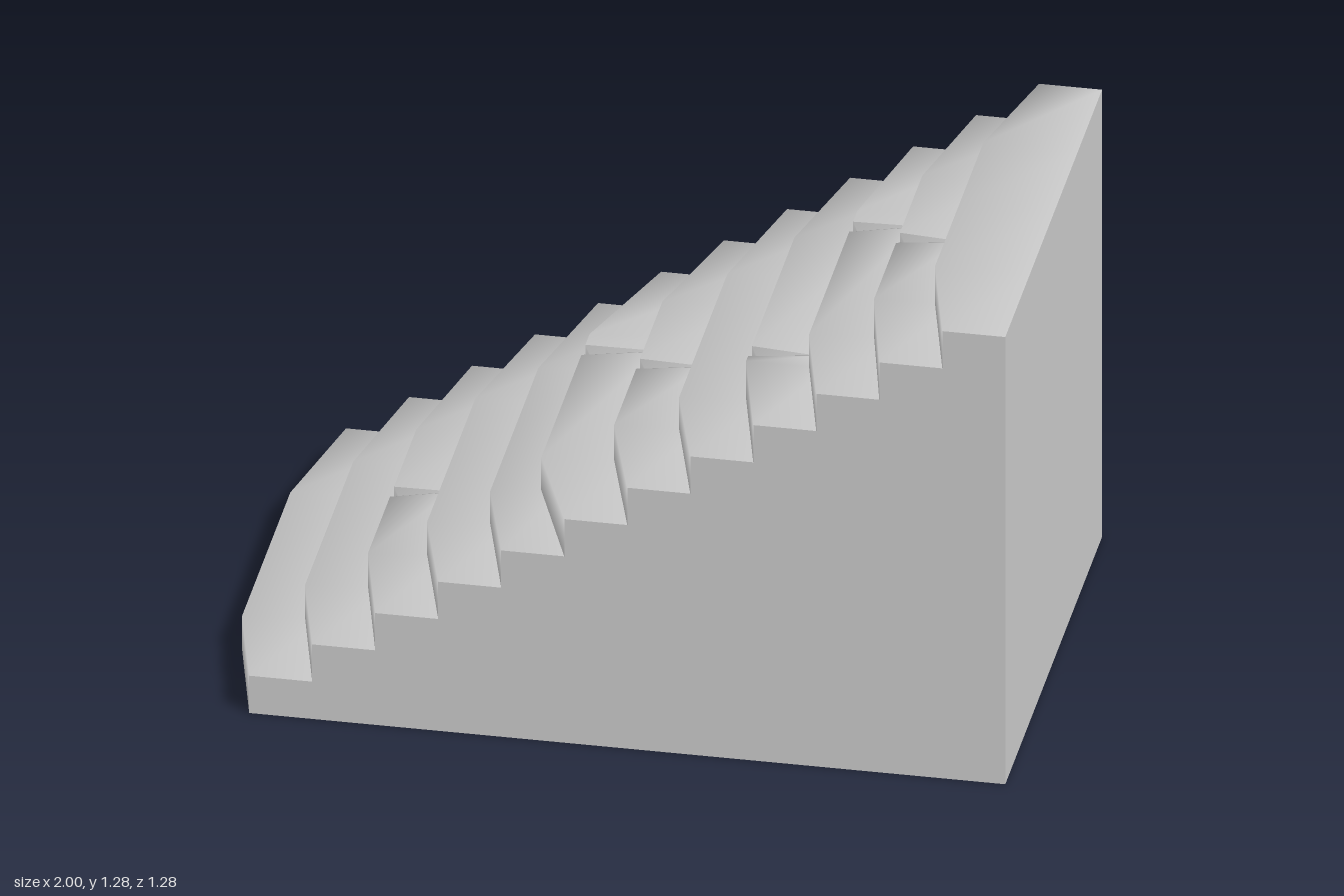
import * as THREE from 'three';

const STEPS = 12, RUN = 0.16, RISE = 1.28 / STEPS, HALF = 0.64;
// Per step: nose position at mid-width, wear of the nose edge, z of the crack (if any)
const NOSE = [-1, -0.84, -0.68, -0.53, -0.37, -0.24, -0.055, 0.11, 0.28, 0.44, 0.605, 0.76];
const WEAR = [0.015, 0.016, 0.014, 0.016, 0.018, 0.014, 0.008, 0.018, 0.003, 0.016, 0.004, 0];
const CRACK = { 2: 0, 5: -0.24, 6: 0, 8: 0.265, 9: -0.24, 10: 0 };

const sideX = i => -0.92 + RUN * i;

export function createModel() {
  const group = new THREE.Group();
  const material = new THREE.MeshStandardMaterial({ color: 0xcccccc, side: THREE.DoubleSide });
  const add = (geometry, name) => {
    const mesh = new THREE.Mesh(geometry, material);
    mesh.name = name;
    group.add(mesh);
    return mesh;
  };

  // Riser and tread swept over a run of columns, smooth over the nose
  const strip = (columns, name) => {
    const index = [];
    for (let c = 0; c < columns.length - 1; c++)
      for (let r = 0; r < 2; r++) {
        const a = c * 3 + r, b = a + 1, d = a + 3;
        index.push(a, d, b, d, d + 1, b);
      }
    const geometry = new THREE.BufferGeometry();
    geometry.setAttribute('position', new THREE.Float32BufferAttribute(columns.flat(), 3));
    geometry.setIndex(index);
    geometry.computeVertexNormals();
    add(geometry, name);
  };

  for (let i = 0; i < STEPS; i++) {
    const y0 = i * RISE, y1 = y0 + RISE, last = i === STEPS - 1;
    // One column: riser foot, nose edge, back of tread (tucked under the next step)
    const column = (z, { inset = 0, dip = 0, backZ = z, tuck = 0.05 } = {}) => {
      const outer = Math.abs(z) === HALF;
      const x = (outer ? sideX(i) : NOSE[i]) + inset;
      const back = last ? 1 : (outer ? sideX(i + 1) : NOSE[i + 1]) + tuck;
      return [x, y0, z, x, y1 - (outer ? 0 : WEAR[i]) - dip, z, back, y1, backZ];
    };

    if (i in CRACK) {
      // Wedge-shaped crack that narrows towards the back of the tread
      const z = CRACK[i];
      const left = column(z - 0.024, { backZ: z - 0.003, tuck: 0 });
      const floor = column(z + 0.008, { inset: 0.04, dip: 0.06, backZ: z, tuck: 0 });
      const right = column(z + 0.028, { backZ: z + 0.003, tuck: 0 });
      strip([column(-HALF), column(-0.32), left], 'step' + (i + 1) + 'Rear');
      strip([left, floor], 'crackWallRear');
      strip([floor, right], 'crackWallFront');
      strip([right, column(0.32), column(HALF)], 'step' + (i + 1) + 'Front');
    } else {
      strip([-HALF, -0.32, 0, 0.32, HALF].map(z => column(z)), 'step' + (i + 1));
    }
  }

  // Stepped side walls
  const profile = new THREE.Shape();
  profile.moveTo(1, 0);
  profile.lineTo(1, STEPS * RISE);
  for (let i = STEPS - 1; i >= 0; i--) {
    profile.lineTo(sideX(i), (i + 1) * RISE);
    profile.lineTo(sideX(i), i * RISE);
  }
  for (const s of [1, -1]) {
    const wall = new THREE.ShapeGeometry(profile);
    if (s < 0) wall.scale(-1, 1, 1).rotateY(Math.PI);
    if (s < 0) {
      // Turn the mirrored faces outward
      const idx = wall.index.array;
      for (let k = 0; k < idx.length; k += 3) [idx[k], idx[k + 1]] = [idx[k + 1], idx[k]];
      wall.computeVertexNormals();
    }
    add(wall.translate(0, 0, s * HALF), s > 0 ? 'frontWall' : 'rearWall');
  }

  // Tall end wall
  add(new THREE.PlaneGeometry(2 * HALF, STEPS * RISE).rotateY(Math.PI / 2)
    .translate(1, STEPS * RISE / 2, 0), 'endWall');

  // Underside, following the bowed first step
  const base = new THREE.Shape([[1, -HALF], [1, HALF], [-0.92, HALF], [-1, 0.32], [-1, -0.32], [-0.92, -HALF]]
    .map(p => new THREE.Vector2(...p)));
  add(new THREE.ShapeGeometry(base).rotateX(Math.PI / 2), 'underside');

  return group;
}
